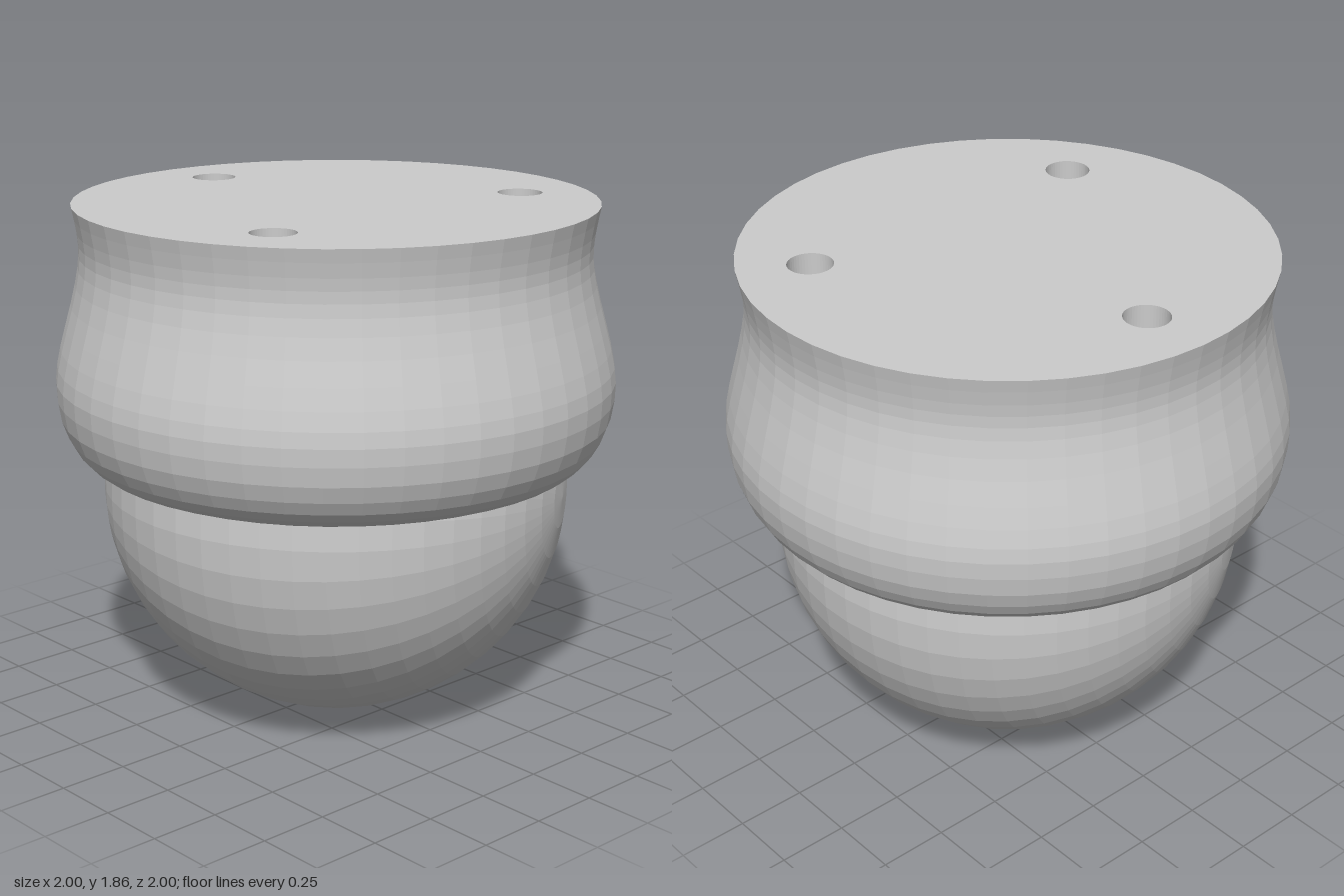
import * as THREE from 'three';

const SEGMENTS = 48;
const TOP = 1.86;
const BALL_R = 0.84;
const SOCKET_R = 0.85;
const RIM_Y = 0.93;
const HOLE_R = 0.08;
const HOLE_DEPTH = 0.3;
const HOLE_RING = 0.675;

export function createModel() {
  const group = new THREE.Group();
  const material = new THREE.MeshStandardMaterial({ color: 0xcccccc, flatShading: true });
  const inner = material.clone();
  inner.side = THREE.BackSide;

  const add = (name, geometry, mat = material) => {
    const mesh = new THREE.Mesh(geometry, mat);
    mesh.name = name;
    group.add(mesh);
    return mesh;
  };

  // Rolling ball, its poles lying sideways
  const ball = add('ball', new THREE.SphereGeometry(BALL_R, SEGMENTS, 24));
  ball.position.y = BALL_R;
  const axis = new THREE.Vector3(-Math.cos(Math.PI / 6), 0, 0.5);
  ball.quaternion.setFromUnitVectors(new THREE.Vector3(0, 1, 0), axis);

  // Housing: hollow socket from its apex down to the rim, then the bulging outer wall
  const profile = [];
  const rimAngle = Math.acos((RIM_Y - BALL_R) / SOCKET_R);
  for (let i = 0; i <= 12; i++) {
    const a = (rimAngle * i) / 12;
    profile.push(new THREE.Vector2(SOCKET_R * Math.sin(a), BALL_R + SOCKET_R * Math.cos(a)));
  }
  const wall = new THREE.SplineCurve([
    [0.85, 0.93], [0.895, 0.955], [0.945, 1.01], [0.985, 1.1], [1.0, 1.21], [0.992, 1.3],
    [0.965, 1.41], [0.93, 1.54], [0.91, 1.64], [0.906, 1.71], [0.913, 1.78], [0.928, TOP],
  ].map(([r, y]) => new THREE.Vector2(r, y)));
  profile.push(...wall.getPoints(18).slice(1));
  add('housing', new THREE.LatheGeometry(profile, SEGMENTS));

  // Flat mounting face, pierced by three screw holes
  const face = new THREE.Shape();
  face.absarc(0, 0, 0.928, 0, Math.PI * 2);
  for (let i = 0; i < 3; i++) {
    const a = Math.PI + (i * Math.PI * 2) / 3;
    const x = HOLE_RING * Math.cos(a);
    const z = HOLE_RING * Math.sin(a);

    const hole = new THREE.Path();
    hole.absarc(x, -z, HOLE_R, 0, Math.PI * 2, true);
    face.holes.push(hole);

    const bore = add('screwHoleWall',
      new THREE.CylinderGeometry(HOLE_R, HOLE_R, HOLE_DEPTH, SEGMENTS, 1, true), inner);
    bore.position.set(x, TOP - HOLE_DEPTH / 2, z);

    const floor = add('screwHoleFloor', new THREE.CircleGeometry(HOLE_R, SEGMENTS));
    floor.rotation.x = -Math.PI / 2;
    floor.position.set(x, TOP - HOLE_DEPTH, z);
  }
  const plate = add('mountingFace', new THREE.ShapeGeometry(face, SEGMENTS / 2));
  plate.rotation.x = -Math.PI / 2;
  plate.position.y = TOP;

  return group;
}
